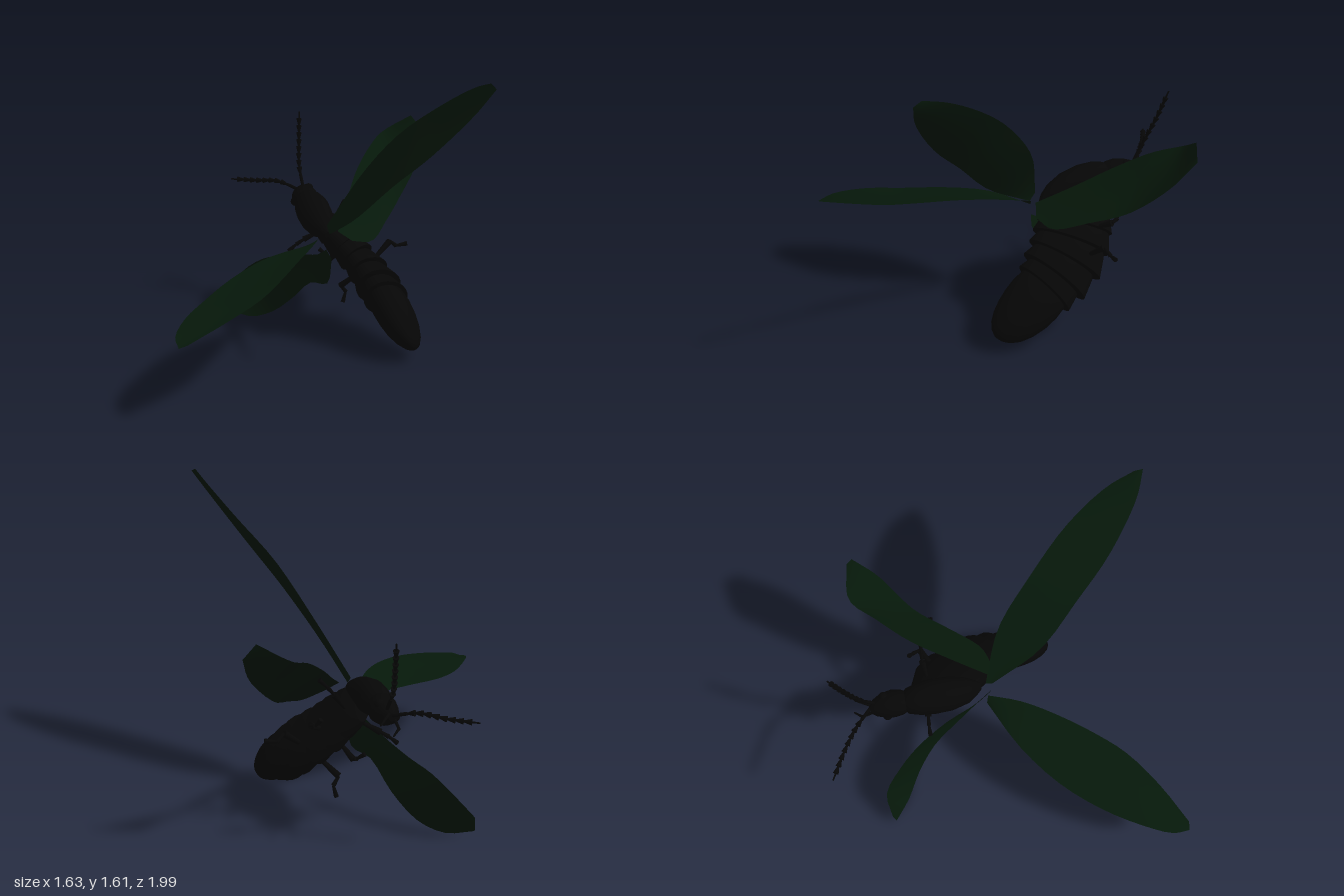
import * as THREE from 'three';
import { toCreasedNormals } from 'three/addons/utils/BufferGeometryUtils.js';

const V = (p) => new THREE.Vector3(...p);
const curve = (pts) => new THREE.CatmullRomCurve3(pts.map(V));
const black = new THREE.MeshStandardMaterial({ color: 0x060606 });
const green = new THREE.MeshStandardMaterial({ color: 0x06180a, side: THREE.DoubleSide });
const side = V([0.70, 0.67, -0.22]).normalize(); // the insect's lateral direction

// Centre lines: head with neck shield, and thorax with abdomen
const headLine = curve([[-0.39, 0.70, -0.76], [-0.34, 0.695, -0.67], [-0.30, 0.695, -0.57],
  [-0.25, 0.685, -0.46], [-0.19, 0.655, -0.34], [-0.12, 0.62, -0.23]]);
const trunkLine = curve([[-0.24, 0.67, -0.45], [-0.13, 0.58, -0.425], [-0.025, 0.48, -0.4], [0.075, 0.39, -0.355],
  [0.155, 0.315, -0.285], [0.235, 0.24, -0.19], [0.312, 0.163, -0.085], [0.385, 0.098, 0.025]]);

function frame(line, u) {
  const t = line.getTangent(u);
  const l = side.clone().addScaledVector(t, -side.dot(t)).normalize();
  return { p: line.getPoint(u), l, d: t.clone().cross(l) };
}

// Indexed grid of points with the given number of columns
function grid(points, cols) {
  const index = [];
  for (let i = 0; i < points.length / cols - 1; i++) {
    for (let j = 0; j < cols - 1; j++) {
      const a = i * cols + j, b = a + 1, c = a + cols, d = c + 1;
      index.push(a, b, c, b, d, c);
    }
  }
  const g = new THREE.BufferGeometry().setFromPoints(points);
  g.setIndex(index);
  return g;
}

// Body segment: stations are [position on line, half width, half depth]
function segment(line, stations) {
  const n = 24, points = [];
  const first = stations[0], last = stations[stations.length - 1];
  for (const [u, w, h] of [[first[0], 0, 0], ...stations, [last[0], 0, 0]]) {
    const { p, l, d } = frame(line, u);
    for (let j = 0; j <= n; j++) {
      const a = (j % n) / n * Math.PI * 2;
      points.push(p.clone().addScaledVector(l, Math.cos(a) * w).addScaledVector(d, Math.sin(a) * h));
    }
  }
  return toCreasedNormals(grid(points, n + 1), 0.7);
}

// Wing blade stretched between two smoothed edges, with a slight camber
function wing(edgeA, edgeB, camber) {
  const n = 6, rows = 18, points = [];
  const ca = curve(edgeA), cb = curve(edgeB);
  for (let i = 0; i <= rows; i++) {
    const a = ca.getPoint(i / rows), b = cb.getPoint(i / rows);
    const normal = b.clone().sub(a).cross(ca.getTangent(i / rows)).normalize();
    const bulge = camber * Math.sin(Math.PI * i / rows);
    for (let j = 0; j <= n; j++) {
      points.push(a.clone().lerp(b, j / n).addScaledVector(normal, bulge * Math.sin(Math.PI * j / n)));
    }
  }
  return toCreasedNormals(grid(points, n + 1), 0.7);
}

// Tapered rod between two points
function rod(a, b, ra, rb) {
  const dir = b.clone().sub(a), len = dir.length();
  const m = new THREE.Mesh(new THREE.CylinderGeometry(rb, ra, len, 8), black);
  m.position.copy(a).addScaledVector(dir, 0.5);
  m.quaternion.setFromUnitVectors(new THREE.Vector3(0, 1, 0), dir.normalize());
  return m;
}

function limb(name, pts, radii) {
  const g = new THREE.Group();
  g.name = name;
  for (let i = 0; i < pts.length - 1; i++) g.add(rod(pts[i], pts[i + 1], ...radii[i]));
  return g;
}

export function createModel() {
  const root = new THREE.Group();
  root.name = 'wingedBeetle';
  const add = (name, geo, mat) => {
    const m = new THREE.Mesh(geo, mat);
    m.name = name;
    root.add(m);
    return m;
  };

  // Head and neck shield
  add('head', segment(headLine, [[0, 0.02, 0.02], [0.05, 0.046, 0.042], [0.14, 0.066, 0.064], [0.24, 0.074, 0.074],
    [0.33, 0.066, 0.068], [0.4, 0.045, 0.05]]), black);
  add('neckShield', segment(headLine, [[0.34, 0.04, 0.05], [0.38, 0.068, 0.068], [0.48, 0.086, 0.082], [0.6, 0.095, 0.088],
    [0.74, 0.092, 0.084], [0.87, 0.073, 0.064], [0.95, 0.045, 0.04], [1, 0.02, 0.015]]), black);

  // Thorax and abdomen rings [start, end, start width, end width, depth], flaring toward the rear edge
  const rings = [
    [0.04, 0.16, 0.06, 0.09, 0.185], [0.13, 0.25, 0.075, 0.1, 0.21], [0.22, 0.34, 0.075, 0.1, 0.218],
    [0.31, 0.45, 0.068, 0.106, 0.215], [0.41, 0.57, 0.068, 0.118, 0.2], [0.52, 0.655, 0.072, 0.115, 0.175],
  ];
  for (const [u0, u1, w0, w1, d] of rings) {
    const len = u1 - u0;
    add('bodyRing', segment(trunkLine, [[u0, w0 * 0.9, d * 0.78], [u0 + len * 0.3, w0 * 0.6 + w1 * 0.4, d * 0.9],
      [u0 + len * 0.95, w1, d], [u1, w1 * 0.75, d * 0.8]]), black);
  }
  add('abdomenTip', segment(trunkLine, [[0.6, 0.075, 0.12], [0.65, 0.094, 0.146], [0.72, 0.1, 0.152], [0.79, 0.096, 0.146],
    [0.86, 0.085, 0.13], [0.92, 0.067, 0.106], [0.965, 0.045, 0.075], [0.99, 0.025, 0.042], [1, 0.008, 0.012]]), black);

  // Eyes and mouth feelers on both sides of the head
  for (const s of [-1, 1]) {
    const { p, l, d } = frame(headLine, 0.16);
    const eye = add('eye', new THREE.SphereGeometry(0.026, 16, 12), black);
    eye.position.copy(p).addScaledVector(l, s * 0.054).addScaledVector(d, 0.012);
    const m = frame(headLine, 0.02).p.addScaledVector(l, s * 0.02);
    const m2 = m.clone().add(V([-0.01, -0.01, -0.06])).addScaledVector(l, s * 0.025);
    root.add(limb('mouthFeeler', [m, m2, m2.clone().add(V([0.02, -0.02, -0.05]))], [[0.009, 0.007], [0.008, 0.004]]));
  }

  // Antennae: chains of small cups
  const antennae = {
    leftAntenna: [[-0.36, 0.73, -0.74], [-0.395, 0.84, -0.80], [-0.41, 0.98, -0.87], [-0.42, 1.13, -0.93]],
    rightAntenna: [[-0.39, 0.71, -0.76], [-0.52, 0.745, -0.80], [-0.65, 0.735, -0.83], [-0.81, 0.73, -0.85]],
  };
  for (const [name, pts] of Object.entries(antennae)) {
    const p = curve(pts).getSpacedPoints(11);
    root.add(limb(name, p, p.map((_, i) => (i < 2 ? [0.009, 0.009] : [0.005, i === 10 ? 0.004 : 0.016]))));
  }

  // Legs folded below the body, mirrored across it
  const centre = V([0.05, 0.41, -0.36]);
  const mirror = (p) => p.clone().addScaledVector(side, -2 * p.clone().sub(centre).dot(side));
  const legs = {
    FrontLeg: [[-0.13, 0.64, -0.52], [-0.08, 0.72, -0.55], [-0.05, 0.76, -0.56], [-0.01, 0.80, -0.57]],
    MidLeg: [[-0.02, 0.52, -0.52], [0.03, 0.57, -0.6], [0.0, 0.58, -0.63], [-0.03, 0.62, -0.64]],
    HindLeg: [[0.08, 0.40, -0.46], [0.17, 0.5, -0.55], [0.2, 0.465, -0.58], [0.26, 0.475, -0.60]],
  };
  for (const [name, pts] of Object.entries(legs)) {
    const radii = [[0.009, 0.018], [0.008, 0.012], [0.007, 0.013]];
    const p = pts.map(V);
    root.add(limb('left' + name, p, radii), limb('right' + name, p.map(mirror), radii));
  }

  // Large flying wings
  add('leftLongWing', wing(
    [[-0.1, 0.64, -0.17], [0.08, 0.8, 0.05], [0.3, 1.03, 0.2], [0.5, 1.22, 0.32], [0.72, 1.46, 0.405], [0.82, 1.59, 0.41]],
    [[-0.12, 0.68, -0.2], [0.08, 0.99, -0.17], [0.29, 1.24, -0.05], [0.52, 1.43, 0.09], [0.7, 1.56, 0.25], [0.79, 1.61, 0.37]],
    0.01), green);
  add('rightLongWing', wing(
    [[-0.19, 0.575, -0.18], [-0.39, 0.56, 0.04], [-0.53, 0.515, 0.28], [-0.61, 0.475, 0.52], [-0.65, 0.455, 0.75], [-0.65, 0.425, 0.92], [-0.61, 0.4, 1]],
    [[-0.16, 0.61, -0.18], [-0.16, 0.62, 0], [-0.19, 0.605, 0.2], [-0.24, 0.565, 0.42], [-0.3, 0.525, 0.6], [-0.42, 0.475, 0.8], [-0.57, 0.415, 0.99]],
    0.01), green);

  // Shorter wing cases, bent at the tip
  add('leftWingCase', wing(
    [[-0.06, 0.65, -0.2], [-0.05, 0.75, -0.4], [-0.035, 0.87, -0.62], [0.01, 0.97, -0.8], [0.065, 1.03, -0.95], [0.22, 1.12, -0.99]],
    [[0.02, 0.6, -0.2], [0.11, 0.58, -0.28], [0.16, 0.64, -0.47], [0.2, 0.71, -0.66], [0.28, 0.89, -0.86], [0.285, 1.04, -0.99]],
    -0.005), green);
  add('rightWingCase', wing(
    [[-0.12, 0.55, -0.18], [-0.18, 0.5, -0.24], [-0.3, 0.45, -0.38], [-0.45, 0.39, -0.51], [-0.57, 0.34, -0.58], [-0.7, 0.24, -0.635], [-0.79, 0.12, -0.59]],
    [[-0.09, 0.5, -0.18], [-0.13, 0.33, -0.26], [-0.24, 0.3, -0.34], [-0.36, 0.17, -0.45], [-0.5, 0.05, -0.515], [-0.64, 0.003, -0.54], [-0.79, 0.04, -0.575]],
    0.005), green);

  return root;
}
